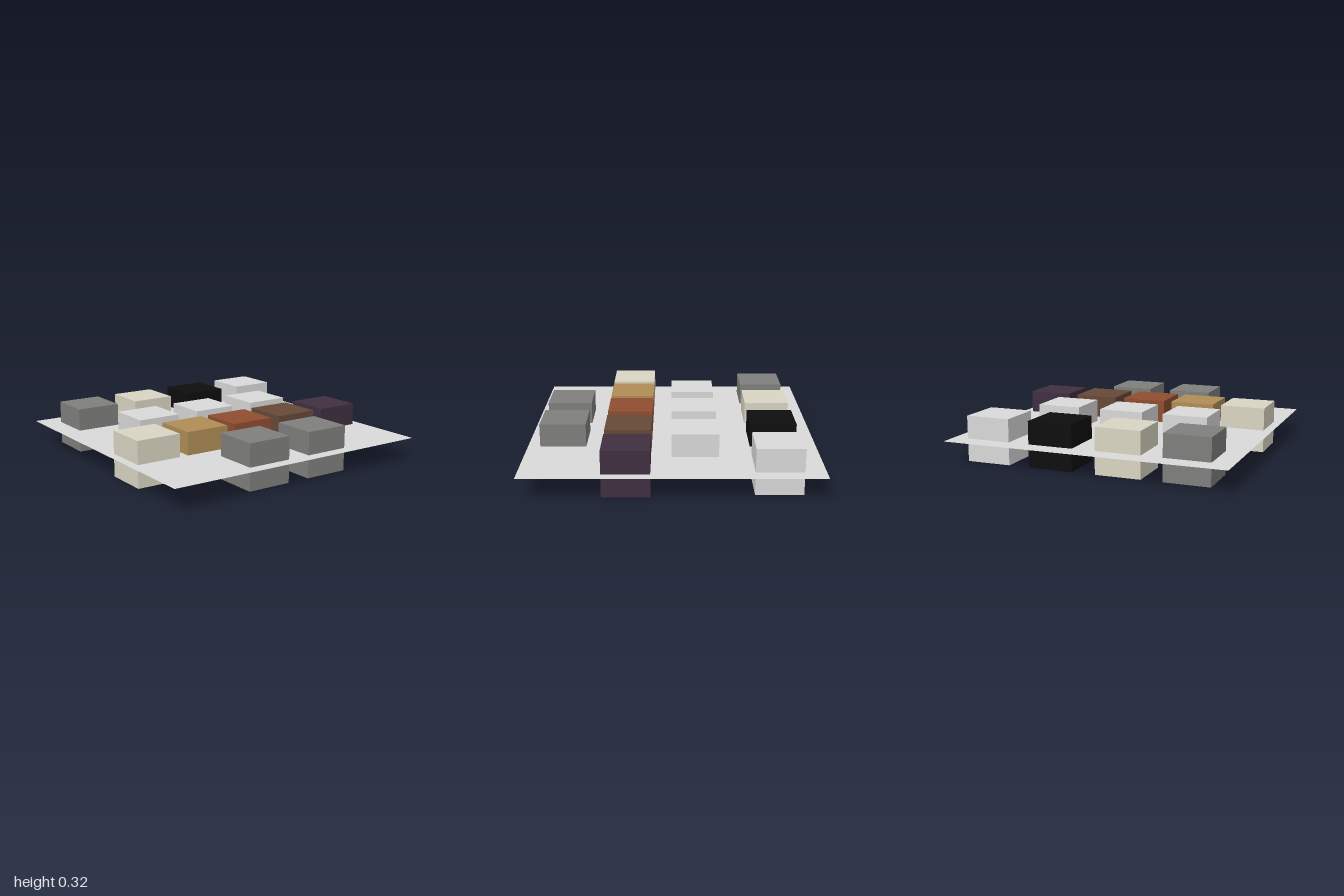
import * as THREE from 'three';

const SIZE = 0.32;

function makeMaterial(name, color) {
  const material = new THREE.MeshStandardMaterial({ color });
  material.name = name;
  return material;
}

export function createModel() {
  const model = new THREE.Group();
  model.name = 'blockBoard';

  const white = makeMaterial('paleGrey', 0xd9d9d9);
  const grey = makeMaterial('midGrey', 0x7f7f7d);
  const cream = makeMaterial('cream', 0xd9d5c3);
  const black = makeMaterial('black', 0x0e0e0e);
  const tan = makeMaterial('tan', 0xb08d56);
  const rust = makeMaterial('rust', 0x8f4e30);
  const brown = makeMaterial('brown', 0x664937);
  const purple = makeMaterial('darkPurple', 0x402f40);
  const sheet = makeMaterial('sheetGrey', 0xd9d9d9);
  sheet.side = THREE.DoubleSide;

  // Flat sheet passing through the middle of every cube
  const board = new THREE.Mesh(new THREE.PlaneGeometry(2, 2).rotateX(-Math.PI / 2), sheet);
  board.name = 'board';
  board.position.y = SIZE / 2;
  model.add(board);

  // Rows of cubes, back to front: [x, material]
  const rows = [
    { name: 'backRow', z: -0.7, cubes: [[-0.693, grey], [-0.223, cream], [0.263, black], [0.733, white]] },
    { name: 'innerRow', z: -0.157, cubes: [[-0.492, white], [-0.02, white], [0.465, white]] },
    { name: 'colourRow', z: 0.3, cubes: [[-0.777, cream], [-0.395, tan], [-0.016, rust], [0.375, brown], [0.77, purple]] },
    { name: 'frontRow', z: 0.755, cubes: [[-0.223, grey], [0.263, grey]] },
  ];

  const cubeGeometry = new THREE.BoxGeometry(SIZE, SIZE, SIZE);
  for (const { name, z, cubes } of rows) {
    const row = new THREE.Group();
    row.name = name;
    cubes.forEach(([x, material], i) => {
      const cube = new THREE.Mesh(cubeGeometry, material);
      cube.name = `${material.name}Cube${i + 1}`;
      cube.position.set(x, SIZE / 2, z);
      row.add(cube);
    });
    model.add(row);
  }

  return model;
}
